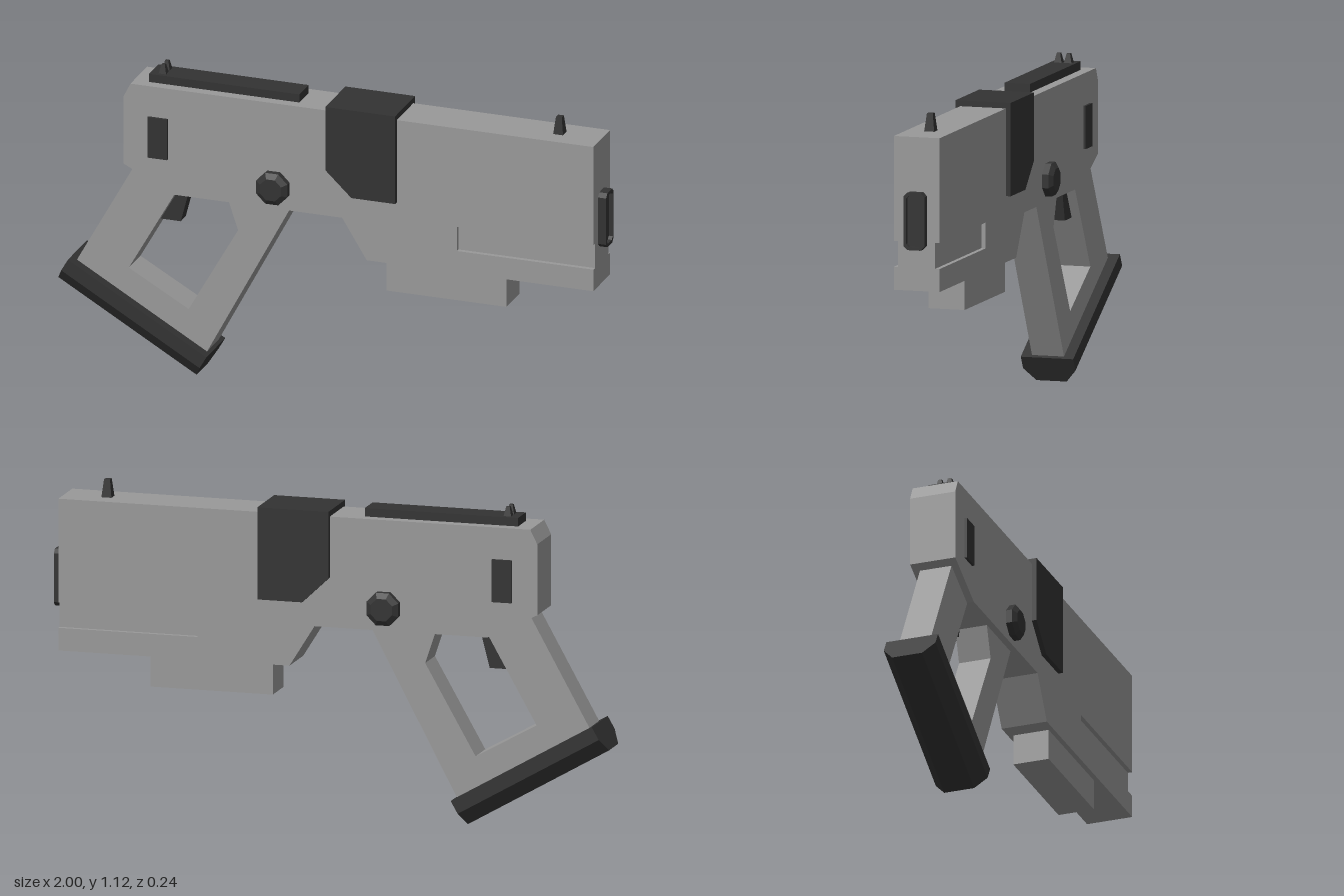
import * as THREE from 'three';

export function createModel() {
  const root = new THREE.Group();
  const lightGrey = new THREE.MeshStandardMaterial({ color: 0x999999 });
  lightGrey.name = 'light grey';
  const darkGrey = new THREE.MeshStandardMaterial({ color: 0x333333 });
  darkGrey.name = 'dark grey';

  const add = (name, geometry, material, x = 0, y = 0, z = 0) => {
    const mesh = new THREE.Mesh(geometry, material);
    mesh.name = name;
    mesh.position.set(x, y, z);
    root.add(mesh);
    return mesh;
  };
  const shapeOf = (pts) => new THREE.Shape(pts.map(([x, y]) => new THREE.Vector2(x, y)));
  // flat profile extruded to a depth, centred on z = 0
  const slab = (shape, depth) =>
    new THREE.ExtrudeGeometry(shape, { depth, bevelEnabled: false }).translate(0, 0, -depth / 2);
  // faceted cylinder with hard edges
  const faceted = (rTop, rBottom, h, sides) => {
    const g = new THREE.CylinderGeometry(rTop, rBottom, h, sides).rotateY(Math.PI / sides).toNonIndexed();
    g.computeVertexNormals();
    return g;
  };

  // body: solid core plus side skins that leave a slot near the front
  const rear = [[0.97, 1.06], [-0.725, 1.06], [-0.75, 1.01], [-0.75, 0.76],
    [-0.57, 0.67], [0.05, 0.67], [0.14, 0.525], [0.97, 0.525]];
  const slot = [[0.97, 0.605], [0.47, 0.605], [0.47, 0.695], [0.97, 0.695]];
  add('bodyCore', slab(shapeOf(rear), 0.134), lightGrey);
  for (const s of [1, -1]) {
    add('bodySide', slab(shapeOf([...rear, ...slot]), 0.016), lightGrey, 0, 0, s * 0.075);
  }
  add('underBlock', new THREE.BoxGeometry(0.44, 0.13, 0.13), lightGrey, 0.425, 0.48, 0);

  // open grip frame, its posts running up into the body
  add('gripFrame', slab(shapeOf([
    [-0.69, 0.8], [-0.938, 0.355], [-0.457, 0.088], [-0.105, 0.75], [-0.4, 0.75],
    [-0.377, 0.67], [-0.34, 0.56], [-0.521, 0.243], [-0.74, 0.366], [-0.522, 0.75],
  ]), 0.116), lightGrey);

  // grip base with chamfered lower edges, extruded along its length
  const base = slab(shapeOf([[-0.095, 0.05], [-0.095, 0], [-0.055, -0.05],
    [0.055, -0.05], [0.095, 0], [0.095, 0.05]]), 0.585);
  base.rotateY(Math.PI / 2).rotateZ(-Math.PI / 6);
  add('gripBase', base, darkGrey, -0.721, 0.191, 0);

  add('trigger', slab(shapeOf([[-0.58, 0.7], [-0.64, 0.55], [-0.562, 0.55], [-0.523, 0.7]]), 0.05), darkGrey);

  // band wrapped over the body
  add('band', slab(shapeOf([[-0.005, 1.08], [-0.005, 0.845], [0.09, 0.755], [0.25, 0.755], [0.25, 1.08]]), 0.2), darkGrey);

  // top rail and sights
  add('topRail', new THREE.BoxGeometry(0.55, 0.04, 0.092), darkGrey, -0.395, 1.07, 0);
  for (const s of [1, -1]) {
    add('rearSight', faceted(0.009, 0.02, 0.035, 4), darkGrey, -0.627, 1.105, s * 0.018);
  }
  add('frontSight', faceted(0.015, 0.026, 0.065, 4), darkGrey, 0.817, 1.09, 0);

  // side plates and chamfered knobs
  for (const s of [1, -1]) {
    add('sidePlate', new THREE.BoxGeometry(0.072, 0.15, 0.015), darkGrey, -0.624, 0.873, s * 0.0845);
    const knob = new THREE.Group();
    knob.name = 'knob';
    const disc = new THREE.Mesh(faceted(0.062, 0.062, 0.03, 8), darkGrey);
    disc.name = 'knobDisc';
    disc.position.y = 0.09;
    const cap = new THREE.Mesh(faceted(0.042, 0.062, 0.013, 8), darkGrey);
    cap.name = 'knobCap';
    cap.position.y = 0.1115;
    knob.add(disc, cap);
    knob.position.set(-0.2, 0.75, 0);
    knob.rotation.x = s * Math.PI / 2;
    root.add(knob);
  }

  // muzzle: cut-corner frame around a recessed floor
  const octagon = (w, h, c) => [[-w + c, -h], [w - c, -h], [w, -h + c], [w, h - c],
    [w - c, h], [-w + c, h], [-w, h - c], [-w, -h + c]];
  const frame = shapeOf(octagon(0.038, 0.1, 0.014));
  frame.holes.push(new THREE.Path(shapeOf(octagon(0.029, 0.089, 0.01)).getPoints().reverse()));
  add('muzzleFrame', slab(frame, 0.04).rotateY(Math.PI / 2), darkGrey, 0.98, 0.77, 0);
  add('muzzleFloor', slab(shapeOf(octagon(0.033, 0.094, 0.012)), 0.025).rotateY(Math.PI / 2), darkGrey, 0.973, 0.77, 0);

  return root;
}
